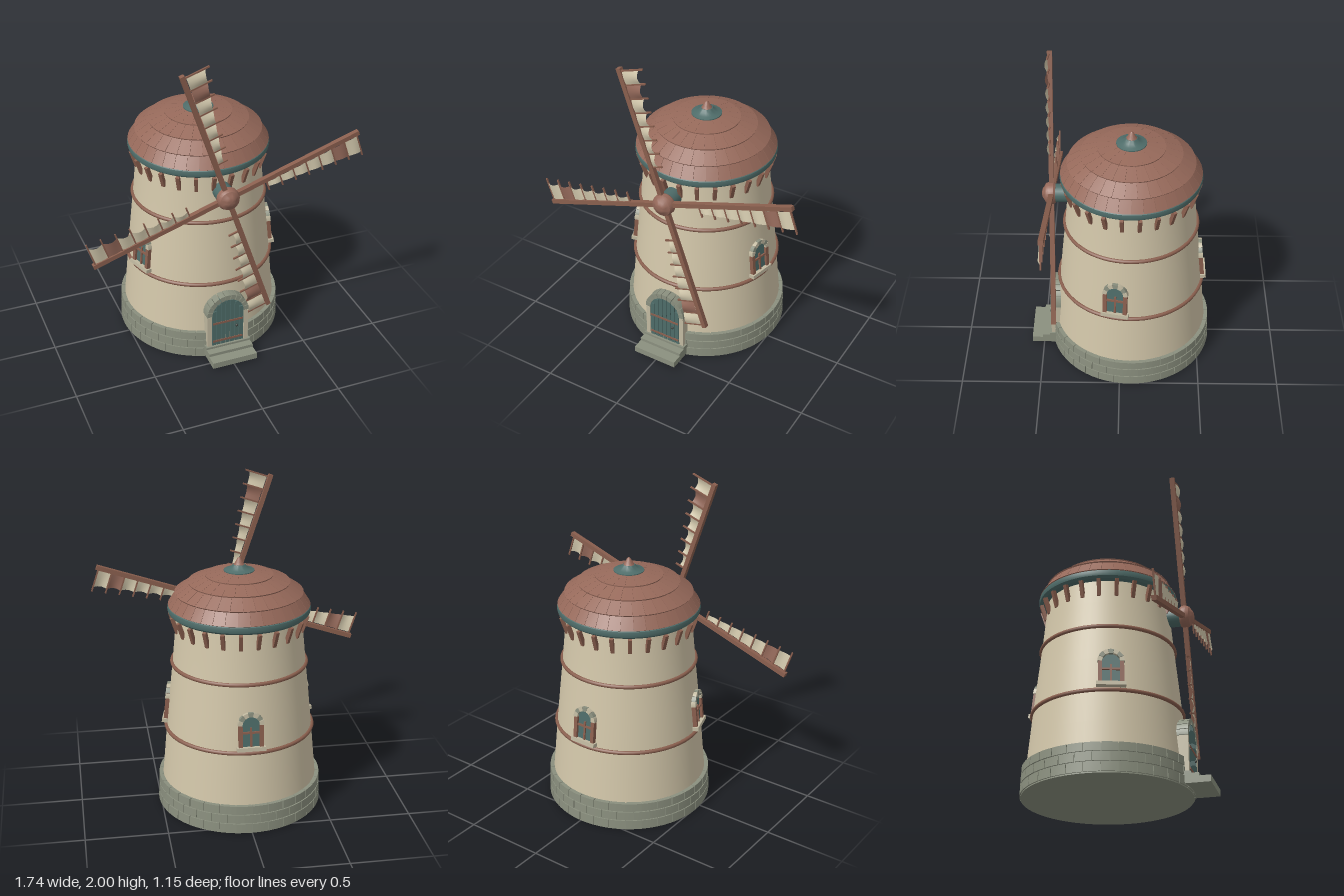
import * as THREE from 'three';
import { mergeGeometries, toCreasedNormals } from 'three/addons/utils/BufferGeometryUtils.js';

const CZ = -0.067; // tower axis
const mat = (name, color, side = THREE.FrontSide) => {
  const m = new THREE.MeshStandardMaterial({ color, side });
  m.name = name;
  return m;
};

export function createModel() {
  const plaster = mat('plaster', 0xd3c7aa, THREE.DoubleSide);
  const stone = mat('stone', 0x8b907f);
  const trim = mat('pale stone', 0xc2baa1);
  const tile = mat('roof tile', 0x96695a);
  const wood = mat('wood', 0x8a5f4e);
  const teal = mat('teal paint', 0x4e6c69);
  const cloth = mat('sail cloth', 0xd3c9ad, THREE.DoubleSide);
  const patch = mat('sail patch', 0x94695a, THREE.DoubleSide);
  const iron = mat('dark iron', 0x3c403c);

  const root = new THREE.Group();
  const tower = new THREE.Group();
  tower.name = 'tower';
  tower.position.z = CZ;
  root.add(tower);

  const add = (parent, name, geo, material, x = 0, y = 0, z = 0) => {
    const m = new THREE.Mesh(geo, material);
    m.name = name;
    m.position.set(x, y, z);
    parent.add(m);
    return m;
  };
  const box = (w, h, d, x = 0, y = 0, z = 0) => new THREE.BoxGeometry(w, h, d).translate(x, y, z);
  const lathe = (pts, seg = 64, crease = 0.5) =>
    toCreasedNormals(new THREE.LatheGeometry(pts.map(p => new THREE.Vector2(p[0], p[1])), seg), crease);

  // Box bent round the tower axis: bottom edge at (r0, y0), top edge at (r1, y1), thickness t
  const bentBox = (a0, a1, r0, y0, r1, y1, t, segs = 3) => {
    const g = new THREE.BoxGeometry(1, 1, 1, segs, 1, 1);
    const p = g.attributes.position;
    const len = Math.hypot(r1 - r0, y1 - y0);
    const nr = (y1 - y0) / len, ny = (r0 - r1) / len; // outward normal of the slope
    for (let i = 0; i < p.count; i++) {
      const a = a0 + (p.getX(i) + 0.5) * (a1 - a0);
      const k = p.getY(i) + 0.5, d = (p.getZ(i) - 0.5) * t;
      const r = r0 + (r1 - r0) * k + nr * d, y = y0 + (y1 - y0) * k + ny * d;
      p.setXYZ(i, Math.sin(a) * r, y, Math.cos(a) * r);
    }
    g.computeVertexNormals();
    return g;
  };
  const ring = (n, offset, gap, ...args) => Array.from({ length: n }, (_, i) => {
    const s = Math.PI * 2 / n, a = (i + offset) * s;
    return bentBox(a + gap / 2, a + s - gap / 2, ...args);
  });

  // Stone foundation in three staggered courses
  add(tower, 'foundationCore', new THREE.CylinderGeometry(0.498, 0.507, 0.175, 64), stone, 0, 0.0875, 0);
  const stones = [];
  [[0.513, 0.008, 0.064], [0.511, 0.07, 0.123], [0.508, 0.129, 0.18]].forEach(([r, y0, y1], i) =>
    stones.push(...ring(32, (i % 2) / 2, 0.01, r, y0, r - 0.002, y1, 0.04)));
  add(tower, 'foundationStones', mergeGeometries(stones), stone);

  // Tapered wall
  add(tower, 'wall', lathe([[0.488, 0.1], [0.479, 0.2], [0.468, 0.32], [0.451, 0.51], [0.43, 0.72],
    [0.408, 0.93], [0.392, 1.1], [0.378, 1.27]]), plaster);
  [[0.455, 0.51], [0.411, 0.93]].forEach(([r, y]) =>
    add(tower, 'wallBand', new THREE.TorusGeometry(r, 0.0125, 8, 64).rotateX(Math.PI / 2), wood, 0, y, 0));

  // Eaves: painted ring with slanted brackets below
  add(tower, 'eavesRing', lathe([[0.36, 1.245], [0.415, 1.245], [0.43, 1.258], [0.434, 1.275],
    [0.43, 1.292], [0.415, 1.303], [0.36, 1.303]]), teal);
  const brackets = [];
  for (let i = 0; i < 24; i++) {
    brackets.push(box(0.022, 0.105, 0.024).rotateX(0.32).translate(0, 1.192, 0.402)
      .rotateY((i + 0.5) * Math.PI / 12));
  }
  add(tower, 'eavesBrackets', mergeGeometries(brackets), wood);

  // Domed roof: four rows of tiles, lifted at the lower edge and flush at the top
  const prof = [[0.424, 1.293], [0.382, 1.37], [0.302, 1.432], [0.2, 1.476], [0.08, 1.503]];
  add(tower, 'roofCore', lathe([...prof.map(([r, y]) => [r - 0.004, y - 0.004]), [0, 1.5]]), tile);
  const tiles = [];
  [36, 32, 26, 18].forEach((n, i) => {
    const [r0, y0] = prof[i], [r1, y1] = prof[i + 1];
    tiles.push(...ring(n, (i % 2) / 2, 0.005, r0 + 0.006, y0 + 0.006, r1, y1 + 0.001, 0.014, 2));
  });
  add(tower, 'roofTiles', mergeGeometries(tiles), tile);
  add(tower, 'roofCap', lathe([[0.092, 1.495], [0.092, 1.507], [0.07, 1.513], [0.05, 1.524],
    [0.036, 1.54], [0, 1.54]], 32), teal);
  add(tower, 'finial', lathe([[0.034, 1.525], [0.034, 1.538], [0.022, 1.556], [0.012, 1.575],
    [0.005, 1.582], [0, 1.583]], 20), tile);

  // Arch pieces: filled round-headed panel and ring of wedge stones
  const archPanel = (w, h, depth) => {
    const s = new THREE.Shape();
    s.moveTo(-w, 0);
    s.lineTo(w, 0);
    s.lineTo(w, h);
    s.absarc(0, h, w, 0, Math.PI, false);
    s.lineTo(-w, 0);
    return new THREE.ExtrudeGeometry(s, { depth, bevelEnabled: false, curveSegments: 16 });
  };
  const wedges = (n, r0, r1, depth) => Array.from({ length: n }, (_, i) => {
    const a = i * Math.PI / n + 0.015, b = (i + 1) * Math.PI / n - 0.015;
    const s = new THREE.Shape();
    s.absarc(0, 0, r1, a, b, false);
    s.absarc(0, 0, r0, b, a, true);
    return new THREE.ExtrudeGeometry(s, { depth, bevelEnabled: false, curveSegments: 3 });
  });

  // Windows: two sides and the back
  [Math.PI / 2 - 0.21, -Math.PI / 2 + 0.31, Math.PI].forEach(a => {
    const w = new THREE.Group();
    w.name = 'window';
    w.rotation.set(-0.1, a, 0, 'YXZ');
    w.position.set(Math.sin(a) * 0.448, 0.53, Math.cos(a) * 0.448);
    add(w, 'windowPane', archPanel(0.054, 0.147, 0.03), teal, 0, 0.01, -0.025);
    add(w, 'windowSill', box(0.172, 0.024, 0.06, 0, 0.01, 0), trim);
    add(w, 'windowPosts', mergeGeometries([-1, 1].map(s => box(0.024, 0.137, 0.05, s * 0.063, 0.089, -0.005))), wood);
    const arch = wedges(7, 0.052, 0.079, 0.05);
    add(w, 'windowArch', mergeGeometries(arch.filter((_, i) => i % 2 === 0)), trim, 0, 0.157, -0.028);
    add(w, 'windowArchStones', mergeGeometries(arch.filter((_, i) => i % 2)), stone, 0, 0.157, -0.028);
    add(w, 'windowBars', mergeGeometries([box(0.012, 0.12, 0.012, 0, 0.08, 0.008),
      box(0.105, 0.012, 0.014, 0, 0.11, 0.008)]), wood);
    tower.add(w);
  });

  // Door with planks, strap bars, handle and stone surround
  const door = new THREE.Group();
  door.name = 'door';
  door.position.set(0, 0.085, 0.438);
  root.add(door);
  add(door, 'doorPanel', archPanel(0.108, 0.225, 0.1), teal, 0, 0, -0.099);
  const planks = [];
  for (let i = -3; i <= 3; i++) {
    const x = i * 0.03, top = 0.225 + Math.sqrt(0.108 ** 2 - (Math.abs(x) + 0.013) ** 2 * 0.98);
    planks.push(box(0.026, top, 0.01, x, top / 2, 0.004));
  }
  add(door, 'doorPlanks', mergeGeometries(planks), teal);
  add(door, 'doorBars', mergeGeometries([0.035, 0.17].map(y => box(0.2, 0.014, 0.012, 0, y, 0.006))), wood);
  add(door, 'doorHandle', new THREE.SphereGeometry(0.009, 10, 8), iron, 0.058, 0.125, 0.012);
  add(door, 'doorJambs', mergeGeometries([-1, 1].map(s => box(0.028, 0.225, 0.1, s * 0.121, 0.1125, -0.04))), trim);
  add(door, 'doorArch', mergeGeometries(wedges(11, 0.105, 0.138, 0.1)), stone, 0, 0.225, -0.09);

  // Front steps
  add(root, 'steps', mergeGeometries([box(0.292, 0.04, 0.22, 0, 0.036, 0.465),
    box(0.292, 0.02, 0.15, 0, 0.066, 0.432), box(0.292, 0.016, 0.09, 0, 0.082, 0.415)]), stone);

  // Axle and hub
  const rotor = new THREE.Group();
  rotor.name = 'rotor';
  rotor.position.set(0, 1.13, 0.42);
  root.add(rotor);
  add(rotor, 'axle', new THREE.CylinderGeometry(0.057, 0.057, 0.15, 24).rotateX(Math.PI / 2), teal, 0, 0, -0.09);
  add(rotor, 'hub', lathe([[0, -0.025], [0.06, -0.025], [0.069, -0.012], [0.069, 0.015], [0.06, 0.034],
    [0.038, 0.046], [0.03, 0.053], [0.018, 0.057], [0, 0.058]], 24).rotateX(Math.PI / 2), tile);

  // Four sails: spar, crossbars and billowing cloth panels
  const U0 = 0.25, STEP = 0.087, N = 7;
  const edge = u => 0.05 + (u - U0) / (N * STEP) * 0.085;
  const panel = i => {
    const g = new THREE.PlaneGeometry(1, 1, 6, 4);
    const p = g.attributes.position;
    for (let k = 0; k < p.count; k++) {
      const s = p.getX(k) + 0.5, t = 0.5 - p.getY(k);
      const u = U0 + (i + s) * STEP, billow = Math.sin(s * Math.PI);
      const v0 = 0.018, v1 = edge(u) - 0.007 * billow;
      p.setXYZ(k, u, -(v0 + (v1 - v0) * t), 0.006 + 0.016 * billow * (0.4 + 0.6 * t));
    }
    g.computeVertexNormals();
    return g;
  };
  for (let b = 0; b < 4; b++) {
    const sail = new THREE.Group();
    sail.name = 'sail';
    sail.rotation.z = 0.325 + b * Math.PI / 2;
    rotor.add(sail);
    add(sail, 'spar', box(0.876, 0.028, 0.03, 0.438, 0, 0), wood);
    const bars = [];
    for (let i = 0; i <= N; i++) {
      const u = U0 + i * STEP, len = edge(u) + 0.028;
      bars.push(box(0.009, len, 0.01, u, -len / 2, 0.004));
    }
    add(sail, 'crossbars', mergeGeometries(bars), wood);
    const panels = Array.from({ length: N }, (_, i) => panel(i));
    add(sail, 'sailCloth', mergeGeometries(panels.filter((_, i) => i !== 5)), cloth);
    add(sail, 'sailPatch', panels[5], patch);
  }
  return root;
}
